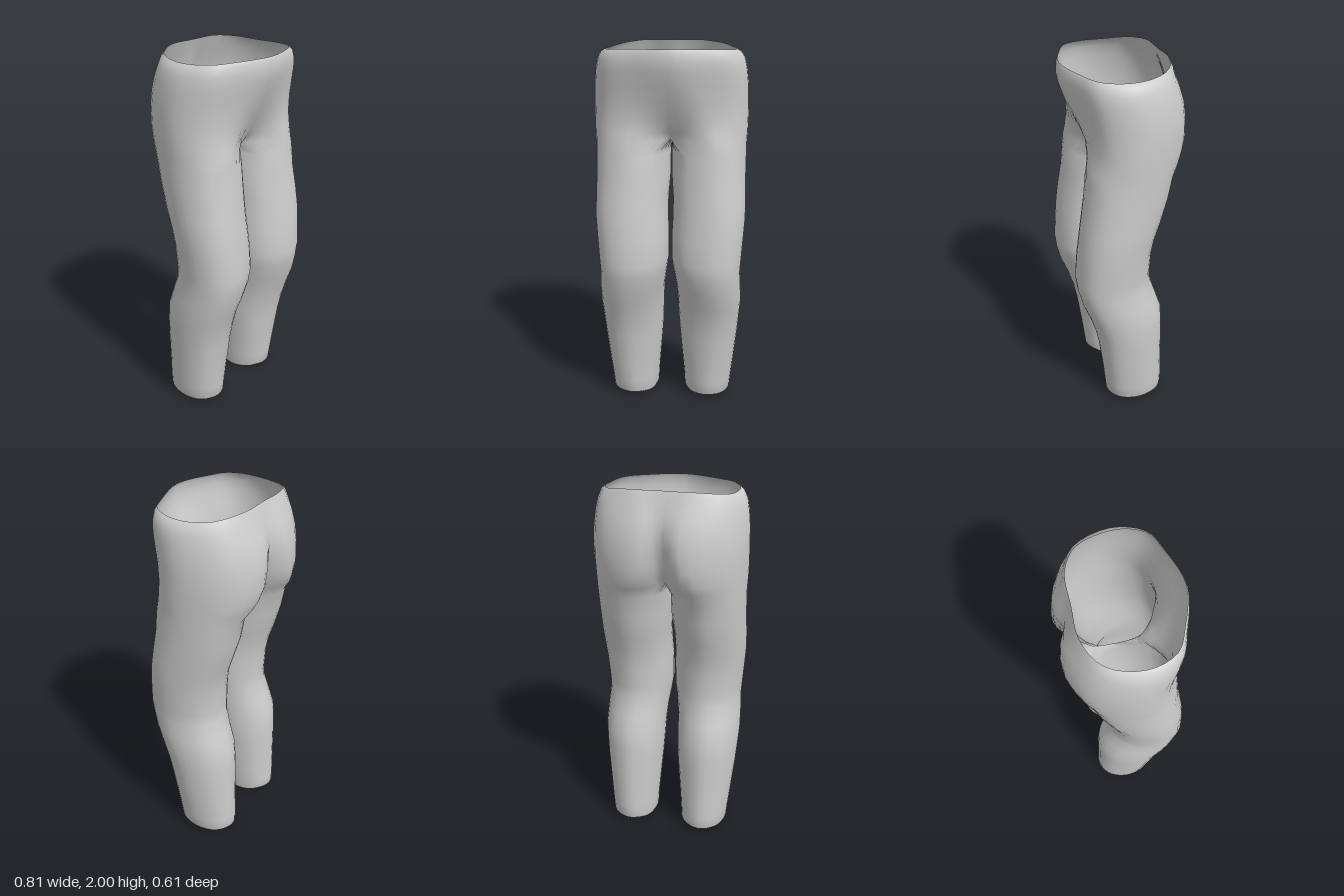
import * as THREE from 'three';
import { mergeVertices } from 'three/addons/utils/BufferGeometryUtils.js';

const STEPS = 4;            // samples between control points
const LEG_N = 8 * STEPS;    // closed leg ring
const HIP_N = 6 * STEPS;    // open half ring, both ends on the centre seam
const H = Math.SQRT1_2;

// leg rows: y, inner x, outer x, front z, back z
const LEG = [
  [0, 0.088, 0.328, 0.125, -0.18],
  [0.025, 0.077, 0.347, 0.142, -0.196],
  [0.1, 0.073, 0.353, 0.15, -0.198],
  [0.2, 0.065, 0.363, 0.16, -0.192],
  [0.4, 0.048, 0.381, 0.185, -0.188],
  [0.5, 0.042, 0.388, 0.205, -0.185],
  [0.6, 0.039, 0.394, 0.235, -0.178],
  [0.7, 0.033, 0.39, 0.272, -0.145],
  [0.8, 0.018, 0.383, 0.297, -0.113],
  [0.87, 0.008, 0.387, 0.304, -0.11],
  [1.0, 0.007, 0.396, 0.293, -0.115],
  [1.1, 0.012, 0.403, 0.282, -0.132],
  [1.2, 0.012, 0.403, 0.268, -0.165],
  [1.33, 0.002, 0.4, 0.247, -0.203],
  [1.45, 0.002, 0.4, 0.236, -0.225],
];

// hip rows: y, centre front z, thigh front [x, z], side [x, z], seat [x, z], centre back z
const HIPS = [
  [1.515, 0.09, [0.2, 0.229], [0.402, 0.02], [0.16, -0.265], -0.13],
  [1.56, 0.15, [0.2, 0.22], [0.404, 0.02], [0.14, -0.285], -0.18],
  [1.63, 0.19, [0.2, 0.211], [0.405, 0.01], [0.12, -0.302], -0.215],
  [1.72, 0.235, [0.19, 0.222], [0.404, 0.0], [0.11, -0.302], -0.245],
  [1.8, 0.268, [0.18, 0.238], [0.4, 0.01], [0.11, -0.292], -0.258],
  [1.87, 0.292, [0.18, 0.252], [0.391, 0.02], [0.12, -0.268], -0.25],
  [1.92, 0.3, [0.18, 0.256], [0.38, 0.03], [0.135, -0.243], -0.235],
  [1.955, 0.297, [0.19, 0.247], [0.362, 0.03], [0.15, -0.222], -0.22],
  [1.97, 0.288, [0.19, 0.235], [0.337, 0.04], [0.16, -0.207], -0.21],
];

// Smooth ring through inner front, front, side, back, inner back (and inner when closed).
// Open rings start from the mirrored front point so the belly rounds over the seam.
function ring(cf, f, s, b, cb, inner, corner = H) {
  const pts = [
    cf, f,
    [f[0] + (s[0] - f[0]) * corner, s[1] + (f[1] - s[1]) * corner],
    s,
    [b[0] + (s[0] - b[0]) * H, s[1] + (b[1] - s[1]) * H],
    b, cb,
  ];
  if (inner) pts.push(inner);
  else pts.unshift([-f[0], f[1]]);
  const curve = new THREE.CatmullRomCurve3(
    pts.map(([x, z]) => new THREE.Vector3(x, 0, z)), !!inner, 'centripetal');
  const first = inner ? 0 : STEPS;
  const n = inner ? LEG_N : HIP_N + STEPS;
  return Array.from({ length: inner ? n : HIP_N + 1 }, (_, i) => curve.getPoint((first + i) / n));
}

function legRing([y, xi, xo, zf, zb], row) {
  const cx = (xi + xo) / 2, cz = (zf + zb) / 2;
  const rx = (xo - xi) / 2, rz = (zf - zb) / 2;
  // the knee turns slightly outwards
  const turn = 0.025 * Math.sin(Math.PI * y / 1.7);
  const pts = ring([cx - rx * H, cz + rz * H], [cx + turn, zf], [xo, cz + turn], [cx, zb],
    [cx - rx * H, cz - rz * H], [xi, cz], 0.73);
  for (const p of pts) {
    p.x = Math.max(p.x, 0.002);
    // cuff edge lifts slightly at front and back
    p.y = y + (row === 0 ? 0.014 * ((p.z - cz) / rz) ** 2 : 0);
  }
  return pts;
}

function hipRing([y, cf, f, s, b, cb], row) {
  const crotch = row === 0;
  const pts = ring([0, cf], f, s, b, [0, cb], crotch ? [0, (cf + cb) / 2] : null);
  pts.forEach((p, i) => {
    p.x = Math.max(p.x, 0);
    p.y = y;
    if (crotch && i >= HIP_N) {           // crotch bridge lies on the centre seam
      const t = (i - HIP_N) / (LEG_N - HIP_N);
      p.set(0, y - 0.01 * Math.sin(Math.PI * t), THREE.MathUtils.lerp(cb, cf, t));
    }
    // waist rises at the back and a little at the front
    if (row >= HIPS.length - 2) {
      const lift = p.z < 0 ? 0.03 * (p.z / 0.21) ** 2 : 0.012 * (p.z / 0.29) ** 2;
      p.y += row === HIPS.length - 1 ? Math.min(lift, 0.03) : lift * 0.5;
    }
  });
  if (!crotch) pts[0].x = pts[HIP_N].x = 0;
  return pts;
}

// Skin both mirrored halves into one welded surface
function trouserGeometry() {
  const rings = [...LEG.map(legRing), ...HIPS.map(hipRing)];
  const position = [], index = [];
  for (const side of [1, -1]) {
    const starts = rings.map((pts) => {
      const start = position.length / 3;
      for (const p of pts) position.push(p.x * side, p.y, p.z);
      return start;
    });
    for (let r = 0; r < rings.length - 1; r++) {
      const closed = r < LEG.length;
      const n = closed ? LEG_N : HIP_N;
      for (let i = 0; i < n; i++) {
        const j = closed ? (i + 1) % n : i + 1;
        const a = starts[r] + i, b = starts[r] + j;
        const c = starts[r + 1] + i, d = starts[r + 1] + j;
        if (side > 0) index.push(a, b, c, b, d, c);
        else index.push(a, c, b, b, c, d);
      }
    }
  }
  const raw = new THREE.BufferGeometry();
  raw.setAttribute('position', new THREE.Float32BufferAttribute(position, 3));
  raw.setIndex(index);
  const geometry = mergeVertices(raw, 1e-4);
  geometry.computeVertexNormals();
  return geometry;
}

export function createModel() {
  const cloth = new THREE.MeshStandardMaterial({ color: 0xcccccc, side: THREE.DoubleSide });
  cloth.name = 'light grey cloth';
  const trousers = new THREE.Mesh(trouserGeometry(), cloth);
  trousers.name = 'trousers';
  const group = new THREE.Group();
  group.name = 'trousersModel';
  group.add(trousers);
  return group;
}
